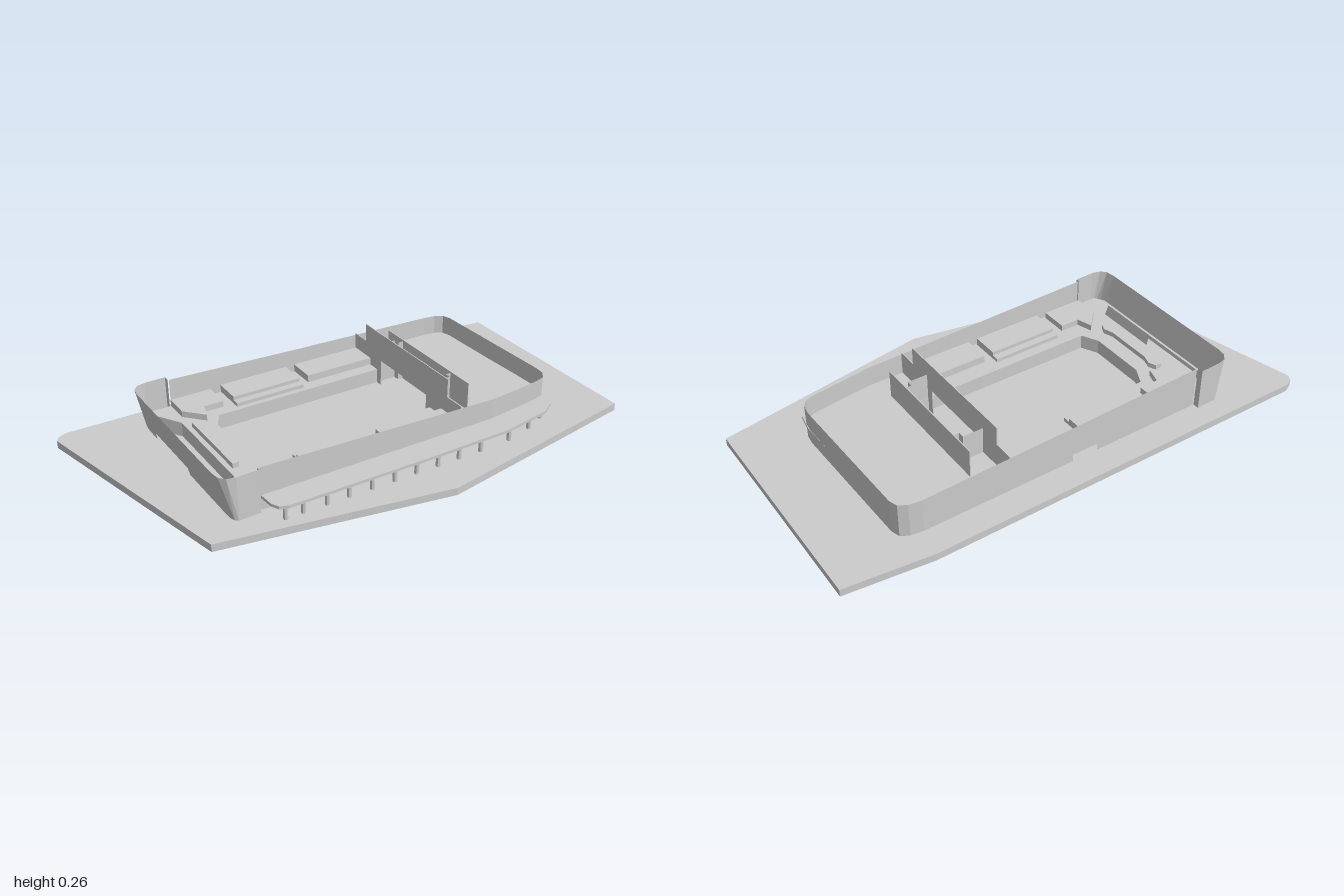
import * as THREE from 'three';

const solid = new THREE.MeshStandardMaterial({ color: 0xcccccc, flatShading: true });
const thin = new THREE.MeshStandardMaterial({ color: 0xcccccc, flatShading: true, side: THREE.DoubleSide });
const FLOOR = 0.03; // top of the site base
const UPPER = 0.09; // top of the upper floor
const MID = -0.07; // centre line of the seating in z

export function createModel() {
  const model = new THREE.Group();

  const add = (name, geometry, material = solid) => {
    const mesh = new THREE.Mesh(geometry, material);
    mesh.name = name;
    model.add(mesh);
    return mesh;
  };

  // Flat slab from an outline of [x, z] points, with optional holes
  const slab = (name, points, y0, y1, holes = []) => {
    const flat = (list) => list.map(([x, z]) => new THREE.Vector2(x, -z));
    const shape = new THREE.Shape(flat(points));
    shape.holes = holes.map((hole) => new THREE.Path(flat(hole)));
    const g = new THREE.ExtrudeGeometry(shape, { depth: y1 - y0, bevelEnabled: false });
    g.rotateX(-Math.PI / 2);
    g.translate(0, y0, 0);
    return add(name, g);
  };

  const block = (name, x0, x1, z0, z1, y1, y0 = FLOOR) => {
    const g = new THREE.BoxGeometry(x1 - x0, y1 - y0, z1 - z0);
    g.translate((x0 + x1) / 2, (y0 + y1) / 2, (z0 + z1) / 2);
    return add(name, g);
  };

  // Thin upright wall along [x, z, bottom] points; base(x) gives the foot's x
  const wall = (name, path, top, base = (x) => x) => {
    const pos = [];
    const index = [];
    path.forEach(([x, z, bottom = FLOOR], i) => {
      const t = top(x);
      const footX = base(x) + (x - base(x)) * (bottom - FLOOR) / (t - FLOOR);
      pos.push(footX, bottom, z, x, t, z);
      if (i) {
        const a = 2 * i - 2;
        index.push(a, a + 1, a + 2, a + 1, a + 3, a + 2);
      }
    });
    const g = new THREE.BufferGeometry();
    g.setAttribute('position', new THREE.Float32BufferAttribute(pos, 3));
    g.setIndex(index);
    g.computeVertexNormals();
    return add(name, g, thin);
  };

  // Site base
  slab('base', [[-1, -0.51], [-0.985, -0.535], [-0.95, -0.55], [0.66, -0.55], [1, -0.51],
    [1, 0.39], [0.1, 0.55], [-0.79, 0.393]], 0, FLOOR);

  // Main outer wall, its top falling gently towards +x, with a small rear doorway
  wall('outerWall', [
    [-0.56, -0.435], [-0.095, -0.435], [-0.095, -0.435, 0.06], [0.015, -0.435, 0.06], [0.015, -0.435],
    [0.64, -0.435], [0.69, -0.428], [0.722, -0.41], [0.733, -0.375], [0.74, -0.1], [0.747, 0.19],
    [0.742, 0.23], [0.72, 0.26], [0.68, 0.272], [0.56, 0.288], [0.44, 0.303], [-0.56, 0.303],
  ], (x) => Math.max(0.17, 0.203 - 0.03 * (x + 0.56)));

  // Leaning end wall with a low opening
  wall('endWall', [
    [-0.565, -0.435], [-0.565, -0.46], [-0.65, -0.458], [-0.685, -0.45], [-0.705, -0.425], [-0.71, -0.39],
    [-0.71, -0.32], [-0.71, -0.32, 0.06], [-0.71, -0.03, 0.06], [-0.71, -0.03],
    [-0.71, 0.25], [-0.705, 0.29], [-0.685, 0.312], [-0.65, 0.32], [-0.565, 0.317], [-0.565, 0.303],
  ], () => 0.205, (x) => x + 0.04 * THREE.MathUtils.clamp((-0.65 - x) / 0.06, 0, 1));

  // Upper floor, open over the sunken hall and the entrance, running out as the walkway roof
  const hall = [[0.375, -0.268], [-0.435, -0.268], [-0.47, -0.2], [-0.47, 0.04], [-0.435, 0.108], [0.375, 0.108],
    [0.375, 0.085], [0.4, 0.085], [0.4, -0.243], [0.375, -0.243]];
  const entrance = [[-0.665, -0.38], [-0.635, -0.38], [-0.58, -0.29], [-0.58, 0.15], [-0.665, 0.22]];
  slab('upperFloor', [
    [-0.675, -0.4], [-0.65, -0.433], [0.64, -0.433], [0.69, -0.426], [0.72, -0.409], [0.731, -0.375], [0.738, -0.1],
    [0.749, 0.2], [0.735, 0.283], [0.71, 0.328], [0.65, 0.368], [0.44, 0.405], [0.1, 0.41],
    [-0.5, 0.407], [-0.535, 0.395], [-0.55, 0.365], [-0.555, 0.301], [-0.65, 0.301], [-0.675, 0.26],
  ], 0.078, UPPER, [hall, entrance]);
  for (const [name, path] of [['hallWall', hall], ['entranceWall', entrance.slice(1, 4)]]) {
    wall(name, path, () => UPPER);
  }

  // Walkway columns, following the curved roof edge
  for (const x of [-0.51, -0.44, -0.345, -0.255, -0.16, -0.065, 0.03, 0.125, 0.22, 0.32, 0.46, 0.58, 0.67]) {
    const z = x < 0.44 ? 0.393 : 0.388 - 0.9 * (x - 0.44) ** 2 - 0.1 * (x - 0.44);
    add('walkwayColumn', new THREE.CylinderGeometry(0.009, 0.009, 0.05, 8)).position.set(x, 0.055, z);
  }
  block('walkwayDoor', 0.415, 0.45, 0.295, 0.308, 0.065);

  // Seating on both long sides, mirrored about the hall's centre line
  for (const s of [-1, 1]) {
    const side = (d) => MID + s * d;
    const tier = (name, x0, x1, d0, d1, h) =>
      block(name, x0, x1, Math.min(side(d0), side(d1)), Math.max(side(d0), side(d1)), h, UPPER);
    tier('seatingUpperTier', -0.345, -0.05, 0.25, 0.365, 0.12);
    tier('seatingFrontStep', -0.345, -0.05, 0.22, 0.25, 0.105);
    tier('seatingSideTier', -0.01, 0.29, 0.25, 0.365, 0.12);
    const corner = [[-0.56, 0.365], [-0.39, 0.365], [-0.39, 0.25], [-0.47, 0.25], [-0.49, 0.185], [-0.56, 0.26]];
    slab('cornerTier', corner.map(([x, d]) => [x, side(d)]), UPPER, 0.115);
  }

  // Low bench between the entrance and the hall
  slab('endBench', [[-0.56, -0.24], [-0.535, -0.24], [-0.522, -0.21], [-0.535, -0.17], [-0.535, 0.03],
    [-0.522, 0.07], [-0.535, 0.1], [-0.56, 0.1]], UPPER, 0.11);

  // Stage: tall panel with low wings and a wide opening, back panel and side walls
  for (const [z0, z1, top, bottom] of [
    [-0.435, -0.355, 0.185, UPPER], [-0.355, -0.24, 0.26, FLOOR], [-0.24, 0.08, 0.26, 0.14],
    [0.08, 0.215, 0.26, FLOOR], [0.215, 0.303, 0.185, UPPER],
  ]) {
    block('stageFrontPanel', 0.288, 0.292, z0, z1, top, bottom);
  }
  block('stageBackPanel', 0.398, 0.402, -0.352, 0.2, 0.205);
  for (const [z, outer] of [[0.11, 0.085], [-0.268, -0.243]]) {
    wall('stageSideWall', [[0.29, z], [0.375, z], [0.375, outer], [0.4, outer]], () => 0.2);
  }
  return model;
}
